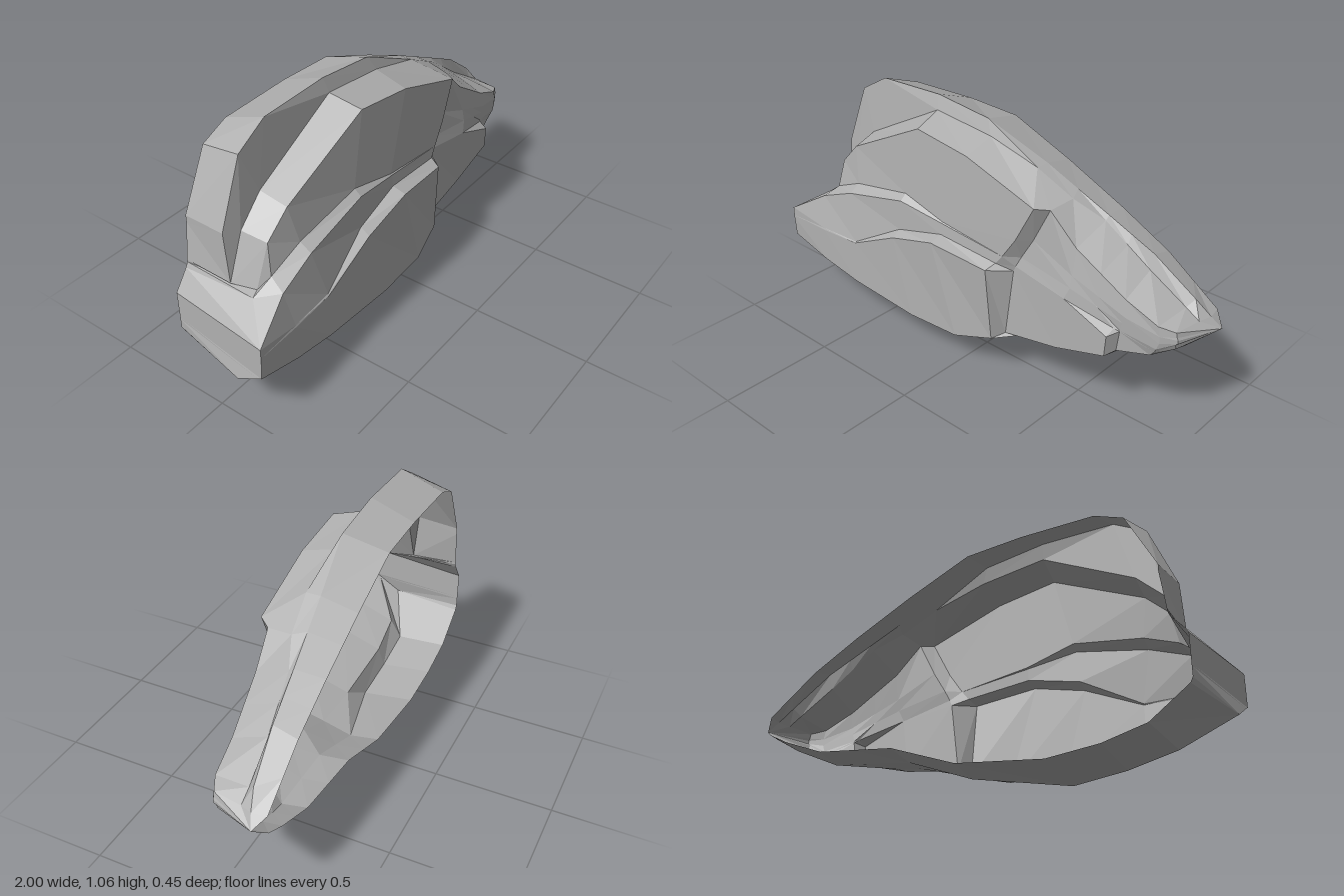
import * as THREE from 'three';

const STATIONS = 14; // 0 = left back rim, 6-7 = cliff step, 9-10 = nose step, 13 = tip

// A rail is a contour running left to right; knots are [station, x, y, z].
function rail(...knots) {
  const line = [];
  for (let s = 0; s < STATIONS; s++) {
    let k = 0;
    while (k < knots.length - 2 && knots[k + 1][0] < s) k++;
    const a = knots[k], b = knots[k + 1];
    const t = (s - a[0]) / (b[0] - a[0]);
    line.push([1, 2, 3].map(i => a[i] + (b[i] - a[i]) * t));
  }
  return line;
}

// Skin the strips between neighbouring rails, listed from top to bottom.
function strips(rails, name, material) {
  const pos = [];
  for (let r = 0; r < rails.length - 1; r++) {
    for (let s = 0; s < STATIONS - 1; s++) {
      const a = rails[r][s], b = rails[r + 1][s];
      const c = rails[r + 1][s + 1], d = rails[r][s + 1];
      for (const p of [a, b, c, a, c, d]) pos.push(...p);
    }
  }
  const geometry = new THREE.BufferGeometry();
  geometry.setAttribute('position', new THREE.Float32BufferAttribute(pos, 3));
  geometry.computeVertexNormals(); // unshared corners keep every facet flat
  const mesh = new THREE.Mesh(geometry, material);
  mesh.name = name;
  return mesh;
}

export function createModel() {
  const stone = new THREE.MeshStandardMaterial({ color: 0xb0b0b0, side: THREE.DoubleSide, flatShading: true });
  stone.name = 'grey stone';

  // back slab
  const topRim = rail([0, -.86, .68, -.23], [1, -.86, .69, -.23], [2, -.74, .93, -.23], [3, -.62, .98, -.23],
    [4, -.3, .99, -.23], [5, -.05, .98, -.23], [6, .23, .87, -.23], [8, .5, .75, -.23],
    [10, .72, .64, -.23], [12, .95, .48, -.23], [13, 1, .435, -.19]);
  const crest = rail([0, -.86, .66, -.23], [1, -.87, .7, -.04], [2, -.76, .97, -.04], [3, -.62, 1.05, -.04],
    [4, -.3, 1.06, -.04], [5, -.03, 1.03, -.04], [6, .24, .91, -.08], [8, .52, .77, -.11],
    [10, .72, .67, -.13], [11, .9, .54, -.15], [12, .96, .48, -.17], [13, 1, .435, -.19]);

  // middle cliff
  const cliffBase = rail([0, -.88, .5, -.23], [1, -.875, .49, -.02], [2, -.8, .68, -.02], [3, -.69, .79, -.02],
    [4, -.29, 1, -.02], [5, 0, .97, -.02], [6, .24, .91, -.02], [7, .4, .825, -.04], [8, .52, .755, -.09],
    [10, .72, .61, -.11], [11, .88, .51, -.12], [12, .94, .475, -.12], [13, 1, .435, -.19]);
  const cliffEdge = rail([0, -.88, .49, -.23], [1, -.845, .49, .08], [2, -.78, .66, .085], [3, -.68, .76, .095],
    [4, -.27, .965, .115], [5, 0, .93, .12], [6, .34, .82, .12], [7, .38, .81, .07], [8, .5, .69, .06],
    [10, .72, .55, .04], [11, .86, .49, .03], [12, .92, .475, 0], [13, 1, .435, -.19]);

  // upper left ledge
  const ledgeBack = rail([0, -.89, .47, -.23], [1, -.88, .48, .09], [2, -.8, .535, .11], [3, -.65, .6, .12],
    [4, -.34, .66, .13], [5, -.12, .61, .14], [6, .26, .66, .13], [7, .31, .66, .08], [8, .5, .58, .08],
    [10, .73, .48, .05], [11, .87, .45, .03], [12, .925, .455, 0], [13, 1, .435, -.19]);
  const ledgeFront = rail([0, -.95, .39, -.23], [1, -1, .4, .225], [2, -.82, .505, .18], [3, -.65, .57, .17],
    [4, -.34, .635, .16], [5, -.12, .605, .145], [6, .2, .57, .135], [7, .26, .57, .09], [8, .5, .53, .09],
    [10, .72, .45, .05], [11, .87, .42, .03], [12, .93, .445, 0], [13, 1, .435, -.19]);

  // lower front boulder
  const boulderBack = rail([0, -.95, .35, -.23], [1, -1, .36, .225], [3, -.6, .36, .2], [4, -.35, .5, .165],
    [5, -.12, .555, .15], [6, .17, .53, .14], [7, .24, .525, .1], [8, .48, .48, .1], [9, .69, .42, .06],
    [10, .71, .415, .05], [11, .86, .39, .03], [12, .93, .43, 0], [13, 1, .435, -.19]);
  const boulderFront = rail([0, -.95, .34, -.23], [1, -1, .35, .225], [3, -.6, .355, .205], [4, -.35, .475, .205],
    [5, -.12, .54, .21], [6, .155, .51, .185], [7, .23, .5, .1], [8, .48, .475, .1], [9, .685, .4, .1],
    [10, .71, .41, .05], [11, .85, .37, .025], [12, .92, .42, 0], [13, 1, .435, -.19]);
  const boulderFoot = rail([0, -.95, .27, -.23], [1, -1, .26, .22], [2, -.8, .2, .215], [3, -.6, .16, .21],
    [4, -.25, .135, .21], [5, 0, .14, .2], [6, .17, .185, .165], [7, .2, .2, .11], [8, .45, .24, .1],
    [9, .68, .31, .1], [10, .7, .32, .05], [11, .83, .345, .02], [12, .92, .4, -.01], [13, 1, .435, -.19]);

  // underside
  const underEdge = rail([0, -.95, .26, -.23], [1, -1, .25, .2], [2, -.8, .14, .05], [3, -.6, .1, .03],
    [4, -.25, .08, .03], [5, 0, .1, .03], [6, .18, .18, .03], [8, .45, .225, .01],
    [10, .7, .3, -.02], [12, .93, .395, -.06], [13, 1, .435, -.19]);
  const underCrest = rail([0, -.95, .22, -.23], [1, -1, .19, .1], [2, -.8, .06, 0], [3, -.6, .02, 0],
    [4, -.38, 0, 0], [5, 0, .065, -.1], [7, .3, .19, -.1], [9, .66, .24, -.12],
    [11, .85, .33, -.15], [12, .96, .4, -.17], [13, 1, .435, -.19]);
  const bottomRim = rail([0, -.95, .22, -.23], [1, -.94, .2, -.23], [2, -.78, .09, -.23], [3, -.6, .05, -.23],
    [4, -.38, .035, -.23], [5, 0, .09, -.23], [7, .3, .21, -.23], [9, .66, .265, -.23],
    [11, .85, .345, -.23], [12, .95, .4, -.23], [13, 1, .435, -.19]);

  const rock = new THREE.Group();
  rock.name = 'rock';
  rock.add(
    strips([topRim, crest, cliffBase], 'backSlab', stone),
    strips([cliffBase, cliffEdge, ledgeBack], 'cliff', stone),
    strips([ledgeBack, ledgeFront, boulderBack], 'upperLedge', stone),
    strips([boulderBack, boulderFront, boulderFoot], 'frontBoulder', stone),
    strips([boulderFoot, underEdge, underCrest, bottomRim], 'underside', stone),
  );
  return rock;
}
